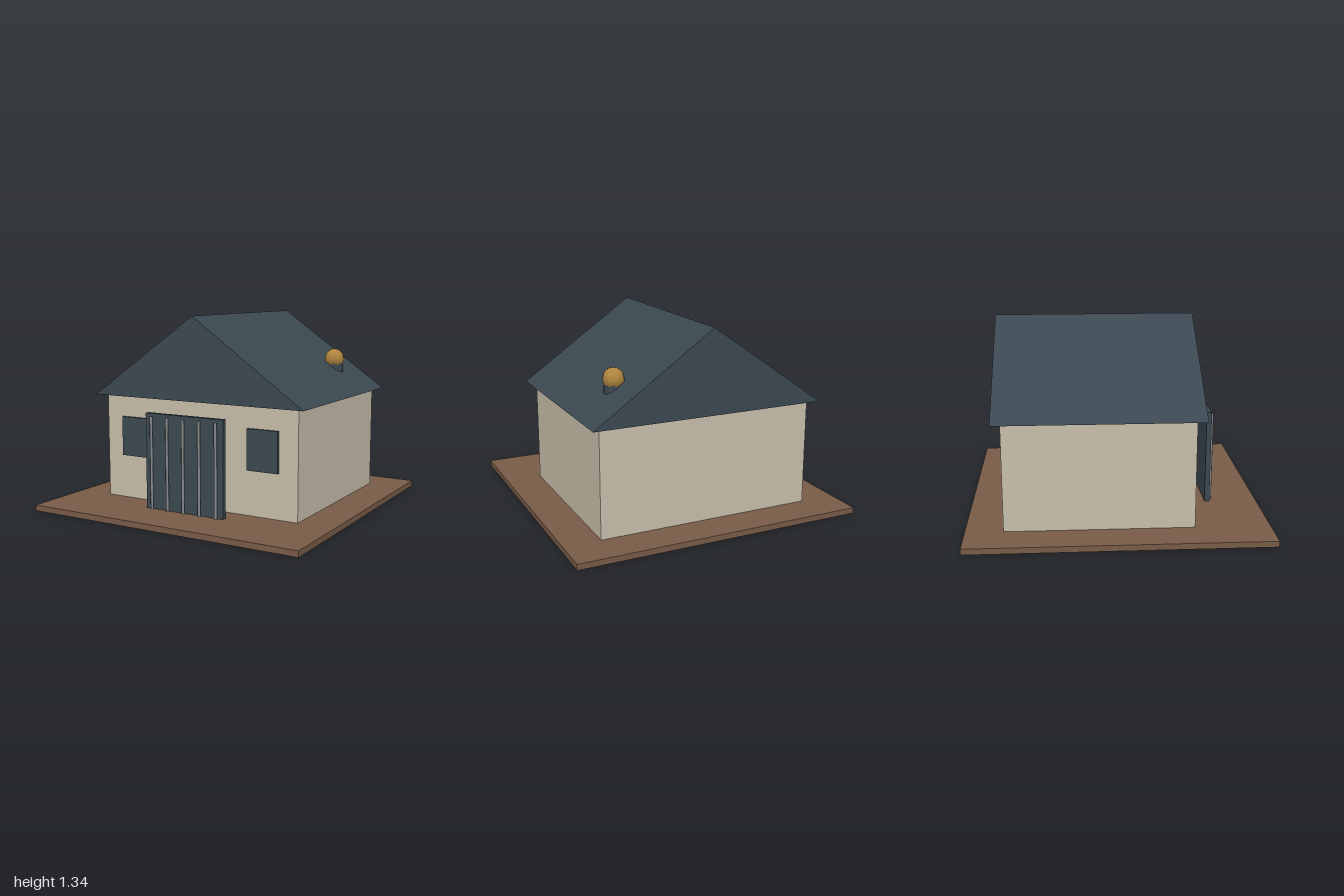
import * as THREE from 'three';

const paint = (name, color) => {
  const m = new THREE.MeshStandardMaterial({ color });
  m.name = name;
  return m;
};

export function createModel() {
  const brown = paint('earth brown', 0x785b47);
  const beige = paint('wall beige', 0xc8beaa);
  const slate = paint('slate', 0x3b4851);
  const steel = paint('steel grey', 0x85898c);
  const gold = paint('gold', 0xb1853f);

  const model = new THREE.Group();
  model.name = 'house';

  const add = (name, geometry, material, x = 0, y = 0, z = 0, parent = model) => {
    const mesh = new THREE.Mesh(geometry, material);
    mesh.name = name;
    mesh.position.set(x, y, z);
    parent.add(mesh);
    return mesh;
  };
  // Box given by its minimum and maximum corners
  const box = (name, material, [x0, y0, z0], [x1, y1, z1], parent) =>
    add(name, new THREE.BoxGeometry(x1 - x0, y1 - y0, z1 - z0), material,
      (x0 + x1) / 2, (y0 + y1) / 2, (z0 + z1) / 2, parent);

  // Ground slab and walls
  box('base', brown, [-1, 0, -1], [1, 0.04, 1]);
  box('walls', beige, [-0.75, 0.04, -0.75], [0.75, 0.77, 0.5]);

  // Solid gable roof
  const gable = new THREE.Shape([
    new THREE.Vector2(-0.81, 0.77),
    new THREE.Vector2(0.81, 0.77),
    new THREE.Vector2(0, 1.335),
  ]);
  add('roof', new THREE.ExtrudeGeometry(gable, { depth: 1.37, bevelEnabled: false }), slate, 0, 0, -0.81);

  // Door behind the gate, and a window on each side
  box('door', brown, [-0.15, 0.04, 0.49], [0.15, 0.55, 0.527]);
  for (const side of [-1, 1]) {
    add(side > 0 ? 'leftWindow' : 'rightWindow', new THREE.BoxGeometry(0.226, 0.275, 0.03), slate,
      side * 0.5, 0.4825, 0.505);
  }

  // Free-standing gate with upright bars
  const gate = new THREE.Group();
  gate.name = 'gate';
  model.add(gate);
  box('gatePanel', slate, [-0.3, 0.04, 0.635], [0.3, 0.69, 0.67], gate);
  const bar = new THREE.CylinderGeometry(0.01, 0.01, 0.63, 8);
  for (let i = -2; i <= 2; i++) add('gateBar', bar, steel, i * 0.125, 0.355, 0.68, gate);

  // Chimney pipe with a round cap
  add('chimney', new THREE.CylinderGeometry(0.0635, 0.0635, 0.17, 16), slate, 0.55, 0.885, -0.5);
  add('chimneyCap', new THREE.SphereGeometry(0.075, 8, 6), gold, 0.55, 1.0, -0.5);

  return model;
}
